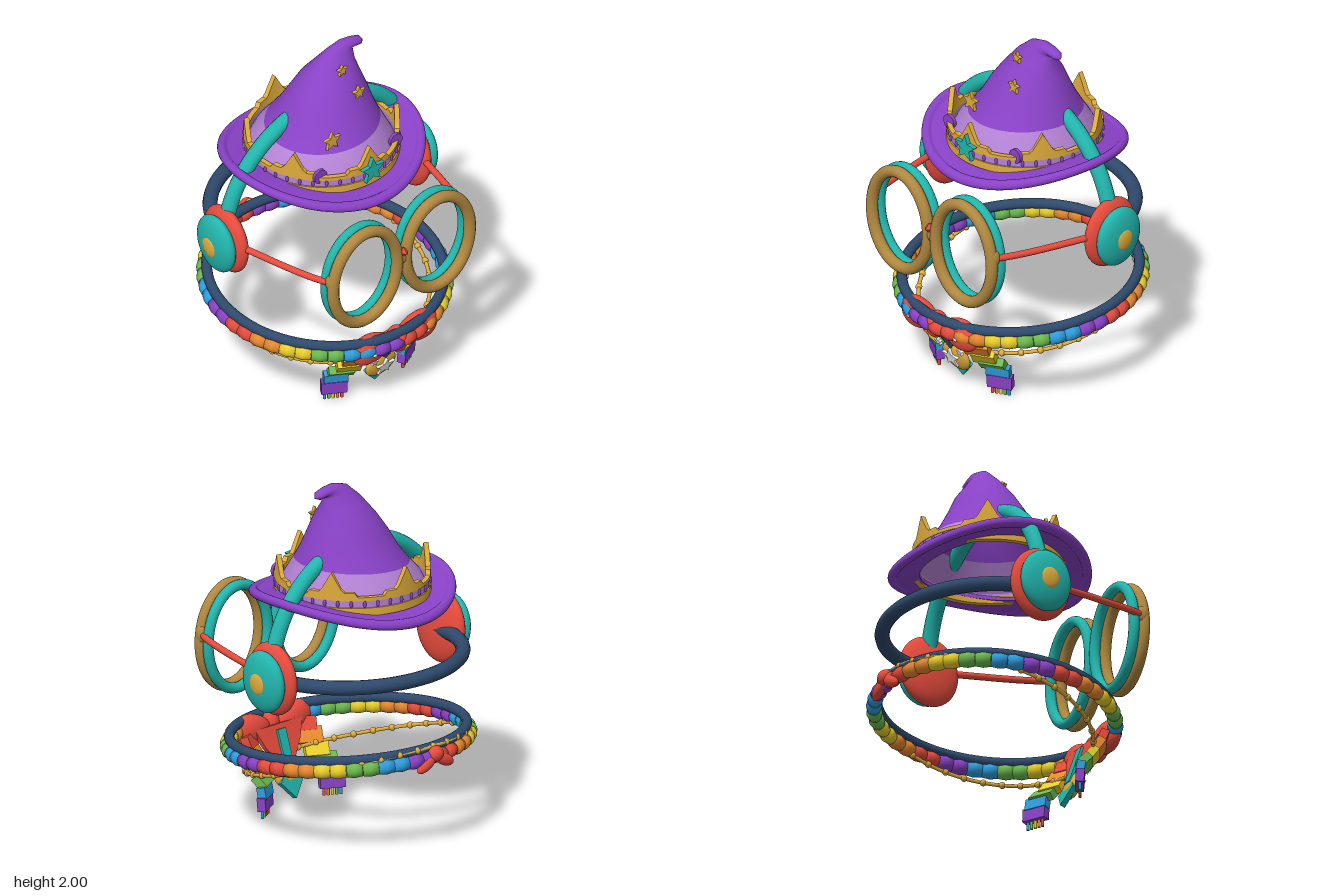
import * as THREE from 'three';

const C = { purple: 0x8a42c8, lilac: 0xb583d6, gold: 0xe0ac3c, brown: 0xb08840, teal: 0x22b5ad,
  red: 0xe84c3d, navy: 0x2f4a6d, white: 0xf2f2ee };
const RAINBOW = [0xe84c3d, 0xe98a30, 0xead02c, 0x6cbb50, 0x2f9fe0, 0x8a42c8];
const HAT_Z = -0.03;
const mats = {};
const mat = (color, extra = {}) =>
  mats[color + JSON.stringify(extra)] ??= new THREE.MeshStandardMaterial({ color, ...extra });
const V = (x, y, z) => new THREE.Vector3(x, y, z);

function add(parent, name, geo, color, pos = [0, 0, 0], extra) {
  const m = new THREE.Mesh(geo, mat(color, extra));
  m.name = name;
  m.position.set(...pos);
  parent.add(m);
  return m;
}
function group(parent, name) {
  const g = new THREE.Group();
  g.name = name;
  parent.add(g);
  return g;
}
const ball = (rx, ry, rz) => new THREE.SphereGeometry(1, 32, 20).scale(rx, ry, rz);
const tube = (pts, r, n = 48) => new THREE.TubeGeometry(new THREE.CatmullRomCurve3(pts), n, r, 12);
const arc = (n, f) => Array.from({ length: n + 1 }, (_, i) => f(i / n));
const plate = (pts, depth) => new THREE.ExtrudeGeometry(
  new THREE.Shape(pts.map(p => new THREE.Vector2(...p))), { depth, bevelEnabled: false });
function star(r, depth) {
  return plate(arc(9, t => {
    const a = t * 9 * Math.PI / 5, q = r * (Math.round(t * 9) % 2 ? 0.45 : 1);
    return [-Math.sin(a) * q, Math.cos(a) * q];
  }), depth).translate(0, 0, -depth / 2);
}
// Loft through tilted ellipses: [x, y, radiusX, radiusZ, tilt]
function loft(rings, n = 64) {
  const pos = [], idx = [];
  for (const [cx, cy, rx, rz, t] of rings) for (let i = 0; i < n; i++) {
    const a = i / n * Math.PI * 2, u = rx * Math.cos(a);
    pos.push(cx + u * Math.cos(t), cy + u * Math.sin(t), rz * Math.sin(a));
  }
  for (let k = 0; k < rings.length - 1; k++) for (let i = 0; i < n; i++) {
    const a = k * n + i, b = k * n + (i + 1) % n;
    idx.push(a, a + n, b, b, a + n, b + n);
  }
  const g = new THREE.BufferGeometry();
  g.setAttribute('position', new THREE.Float32BufferAttribute(pos, 3));
  g.setIndex(idx);
  g.computeVertexNormals();
  return g;
}

function buildHat(root) {
  const hat = group(root, 'hat');
  hat.position.z = HAT_Z;
  const both = { side: THREE.DoubleSide };
  const seam = [0.005, 1.535, 0.32, 0.315, 0.06];
  add(hat, 'hatBand', loft([[0, 1.36, 0.42, 0.42, 0], [0, 1.45, 0.375, 0.375, 0], seam]), C.lilac, undefined, both);
  add(hat, 'hatCone', loft([seam, [0.025, 1.61, 0.275, 0.265, 0.03], [0.04, 1.7, 0.235, 0.215, 0],
    [0.058, 1.8, 0.18, 0.165, 0], [0.088, 1.89, 0.125, 0.095, -0.1], [0.13, 1.95, 0.085, 0.05, -0.3],
    [0.17, 1.97, 0.045, 0.04, -0.7], [0.215, 1.965, 0.03, 0.035, -1.3], [0.26, 1.955, 0.024, 0.03, -1.8],
    [0.285, 1.945, 0.002, 0.003, -1.8]]), C.purple, undefined, both);

  // Saddle-shaped brim with a rolled rim
  const profile = [[0.4, 1.35], [0.53, 1.34]];
  for (let i = 0; i <= 14; i++) {
    const a = -2.5 + i / 14 * 5;
    profile.push([0.555 + 0.028 * Math.cos(a), 1.353 + 0.028 * Math.sin(a)]);
  }
  profile.push([0.525, 1.365], [0.4, 1.372], [0.4, 1.35]);
  const brim = new THREE.LatheGeometry(profile.map(p => new THREE.Vector2(...p)), 96);
  const p = brim.attributes.position;
  for (let i = 0; i < p.count; i++) {
    const x = p.getX(i), z = p.getZ(i);
    p.setY(i, p.getY(i) + (x * x - z * z) * 0.17);
    p.setZ(i, z * 0.945);
  }
  brim.computeVertexNormals();
  add(hat, 'hatBrim', brim, C.purple, undefined, both);

  // Crown with six points
  const crown = group(hat, 'crown');
  const ring = (y0, y1, r0, r1) => new THREE.LatheGeometry(
    [[r0, y0], [r1, y0], [r1, y1], [r0, y1], [r0, y0]].map(q => new THREE.Vector2(...q)), 144);
  const teeth = ring(1.43, 1.46, 0.4, 0.428), tp = teeth.attributes.position;
  for (let i = 0; i < tp.count; i++) if (tp.getY(i) > 1.45) {
    const a = Math.atan2(tp.getX(i), tp.getZ(i)), s = Math.PI / 3;
    const d = Math.abs(a - Math.round(a / s) * s) * 0.42;
    tp.setY(i, d < 0.065 ? 1.475 + 0.115 * (1 - d / 0.065) : d < 0.13 ? 1.475 : 1.45);
  }
  add(crown, 'crownPoints', teeth, C.gold, undefined, { flatShading: true });
  add(crown, 'crownBase', ring(1.345, 1.39, 0.4, 0.432), C.gold, undefined, { flatShading: true });
  add(crown, 'crownStripe', ring(1.385, 1.435, 0.4, 0.424), C.lilac, undefined, { flatShading: true });
  for (let i = 0; i < 36; i++) {
    const a = (i + 0.5) / 36 * Math.PI * 2;
    add(crown, 'crownStud', ball(0.009, 0.02, 0.009), C.purple, [0.426 * Math.sin(a), 1.41, 0.426 * Math.cos(a)]);
  }
  for (const s of [-1, 1]) add(crown, 'crownDisc',
    new THREE.CylinderGeometry(0.042, 0.042, 0.02, 24).rotateX(Math.PI / 2), C.purple, [s * 0.265, 1.452, 0.315]);
  add(crown, 'frontStar', star(0.082, 0.025), C.teal, [0, 1.445, 0.442]);
  for (const [x, y, z, r] of [[-0.145, 1.61, 0.27, 0.06], [0.11, 1.772, 0.185, 0.043], [0.055, 1.903, 0.11, 0.035]])
    add(hat, 'hatStar', star(r, 0.02), C.gold, [x, y, z]);
}

function buildHeadphones(root) {
  const g = group(root, 'headphones'), z = -0.065;
  add(g, 'headband', tube(arc(24, t => V(-0.65 * Math.cos(t * Math.PI), 1 + 0.645 * Math.sin(t * Math.PI), z)), 0.045, 80), C.teal);
  add(g, 'neckband', tube(arc(24, t => {
    const a = Math.PI * t;
    return V(-0.615 * Math.cos(a), 0.99, z - 0.54 * Math.sin(a));
  }), 0.041, 80), C.navy);
  for (const s of [-1, 1]) {
    const cup = group(g, s > 0 ? 'leftEarCup' : 'rightEarCup');
    cup.position.set(s * 0.64, 1, z);
    cup.rotation.z = s * -0.04;
    add(cup, 'cushion', ball(0.066, 0.21, 0.18), C.red);
    add(cup, 'shell', ball(0.06, 0.178, 0.153), C.teal, [s * 0.068, 0, 0]);
    add(cup, 'cap', ball(0.018, 0.064, 0.056), C.gold, [s * 0.118, 0, 0]);
  }
}

function buildGlasses(root) {
  const g = group(root, 'glasses');
  const rim = (rx, ry, r) => new THREE.TubeGeometry(new THREE.CatmullRomCurve3(
    arc(39, t => V(rx * Math.cos(t * Math.PI * 1.95), ry * Math.sin(t * Math.PI * 1.95), 0)), true), 96, r, 12, true);
  for (const s of [-1, 1]) {
    add(g, 'frontRim', rim(0.224, 0.292, 0.034), C.brown, [s * 0.255, 0.985, 0.667]);
    add(g, 'backRim', rim(0.226, 0.295, 0.03), C.teal, [s * 0.255, 0.985, 0.605]);
    add(g, 'hinge', ball(0.028, 0.05, 0.035), C.brown, [s * 0.485, 1.04, 0.655]);
    add(g, 'temple', tube([V(s * 0.64, 1.015, 0.06), V(s * 0.56, 1.028, 0.42), V(s * 0.515, 1.036, 0.58),
      V(s * 0.48, 1.04, 0.655)], 0.019), C.red);
  }
  add(g, 'bridge', ball(0.035, 0.045, 0.03), C.brown, [0, 1, 0.665]);
  add(g, 'bridgeGem', new THREE.OctahedronGeometry(0.032), C.red, [0, 1.045, 0.685]);
}

function buildCollar(root) {
  const g = group(root, 'collar');
  g.position.y = 0.485;
  g.rotation.x = 0.088;
  // Rainbow barrel beads, two per colour
  const bead = new THREE.LatheGeometry([[0, -0.044], [0.037, -0.044], [0.044, 0], [0.037, 0.044], [0, 0.044]]
    .map(q => new THREE.Vector2(...q)), 20).rotateZ(Math.PI / 2);
  for (let i = 0; i < 48; i++) {
    const a = (i + 0.5) / 48 * Math.PI * 2;
    add(g, 'rainbowBead', bead, RAINBOW[Math.floor(i / 2) % 6], [0.662 * Math.sin(a), 0, 0.662 * Math.cos(a)])
      .rotation.y = a;
  }
  add(g, 'collarCord', new THREE.TorusGeometry(0.65, 0.029, 12, 96).rotateX(Math.PI / 2), C.navy, [0, 0.05, 0]);

  // Drooping gold chain
  const chain = group(root, 'chain');
  const at = t => {
    const a = t * Math.PI * 2, z = -0.07 + 0.59 * Math.cos(a);
    return V(0.635 * Math.sin(a), 0.42 - 0.275 * z, z);
  };
  add(chain, 'chainCord', new THREE.TubeGeometry(new THREE.CatmullRomCurve3(arc(59, t => at(t * 59 / 60)), true), 120, 0.011, 8, true), C.gold);
  for (let i = 0; i < 36; i++) add(chain, 'chainBead', new THREE.SphereGeometry(0.019, 12, 8), C.gold, at(i / 36).toArray());

  // Small knot at the back
  const knot = group(root, 'backKnot');
  add(knot, 'knotCentre', ball(0.05, 0.045, 0.04), C.red, [0, 0.565, -0.682]);
  for (const s of [-1, 1]) add(knot, 'knotLoop', ball(0.075, 0.035, 0.03), C.red, [s * 0.065, 0.52, -0.68]).rotation.z = s * -0.5;
}

function buildBow(root) {
  const g = group(root, 'bow');
  add(g, 'bowKnot', ball(0.057, 0.08, 0.065), C.red, [0, 0.425, 0.63]);
  for (const s of [-1, 1]) {
    // Lobes flare away from the knot
    const lobe = ball(0.135, 0.09, 0.06), p = lobe.attributes.position;
    for (let i = 0; i < p.count; i++) p.setY(i, p.getY(i) * (1 + s * p.getX(i) * 1.6));
    lobe.computeVertexNormals();
    add(g, 'bowLobe', lobe, C.red, [s * 0.16, 0.42, 0.605]);
    add(g, 'bowStud', new THREE.SphereGeometry(0.014, 12, 8), C.white, [s * 0.11, 0.455, 0.655]);
    add(g, 'bowStud', new THREE.SphereGeometry(0.014, 12, 8), C.white, [s * 0.185, 0.415, 0.663]);

    // Striped tails ending in a fringe
    const tail = group(g, 'scarfTail');
    const pts = [V(0.2, 0.41, 0.575), V(0.21, 0.35, 0.55), V(0.215, 0.285, 0.505), V(0.225, 0.22, 0.455),
      V(0.243, 0.17, 0.405), V(0.253, 0.115, 0.395), V(0.256, 0.05, 0.39)];
    for (let i = 0; i < 6; i++) {
      const a = pts[i], b = pts[i + 1];
      const m = add(tail, 'stripe', new THREE.BoxGeometry(0.135 + (i % 2) * 0.008, a.distanceTo(b) + 0.012, 0.048),
        RAINBOW[i], [s * (a.x + b.x) / 2, (a.y + b.y) / 2, (a.z + b.z) / 2]);
      m.rotation.order = 'YXZ';
      m.rotation.set(Math.atan2(a.z - b.z, a.y - b.y), s * 0.5, 0);
    }
    for (let k = 0; k < 5; k++) {
      const u = (k - 2) * 0.024;
      add(tail, 'fringe', new THREE.CylinderGeometry(0.009, 0.009, 0.055, 8), RAINBOW[k],
        [s * (0.256 + u * 0.88), 0.0275, 0.39 - u * 0.48]);
    }
  }

  // Kerchief and pendant, sloping back below the bow
  const k = group(g, 'kerchief');
  k.position.set(0, 0.38, 0.55);
  k.rotation.x = 0.33;
  add(k, 'cloth', plate([[-0.18, 0.05], [-0.13, -0.06], [-0.03, -0.2], [0.03, -0.2], [0.13, -0.06], [0.18, 0.05]], 0.03), C.red, [0, 0, -0.02]);
  add(k, 'chevron', plate([[-0.12, 0], [0, -0.15], [0.12, 0], [0.07, 0], [0, -0.075], [-0.07, 0]].reverse(), 0.03), C.navy, [0, 0, 0]);
  add(k, 'tealStrip', new THREE.BoxGeometry(0.06, 0.24, 0.02), C.teal, [0, -0.1, -0.025]);
  add(k, 'tealPoint', plate([[0, -0.37], [0.085, -0.27], [0, -0.17], [-0.085, -0.27]], 0.03), C.teal, [0, 0, -0.025]);
  add(k, 'pendant', ball(0.1, 0.093, 0.035), C.gold, [0, -0.22, 0.005]);
  add(k, 'pendantStar', star(0.065, 0.02), C.white, [0, -0.205, 0.038]);
  for (const [x, y] of [[0, -0.05], [-0.085, -0.13], [0.085, -0.13]])
    add(k, 'smallStar', star(0.026, 0.02), C.white, [x, y, 0.03]);
}

export function createModel() {
  const root = new THREE.Group();
  root.name = 'wizardAccessories';
  buildHat(root);
  buildHeadphones(root);
  buildGlasses(root);
  buildCollar(root);
  buildBow(root);
  return root;
}
